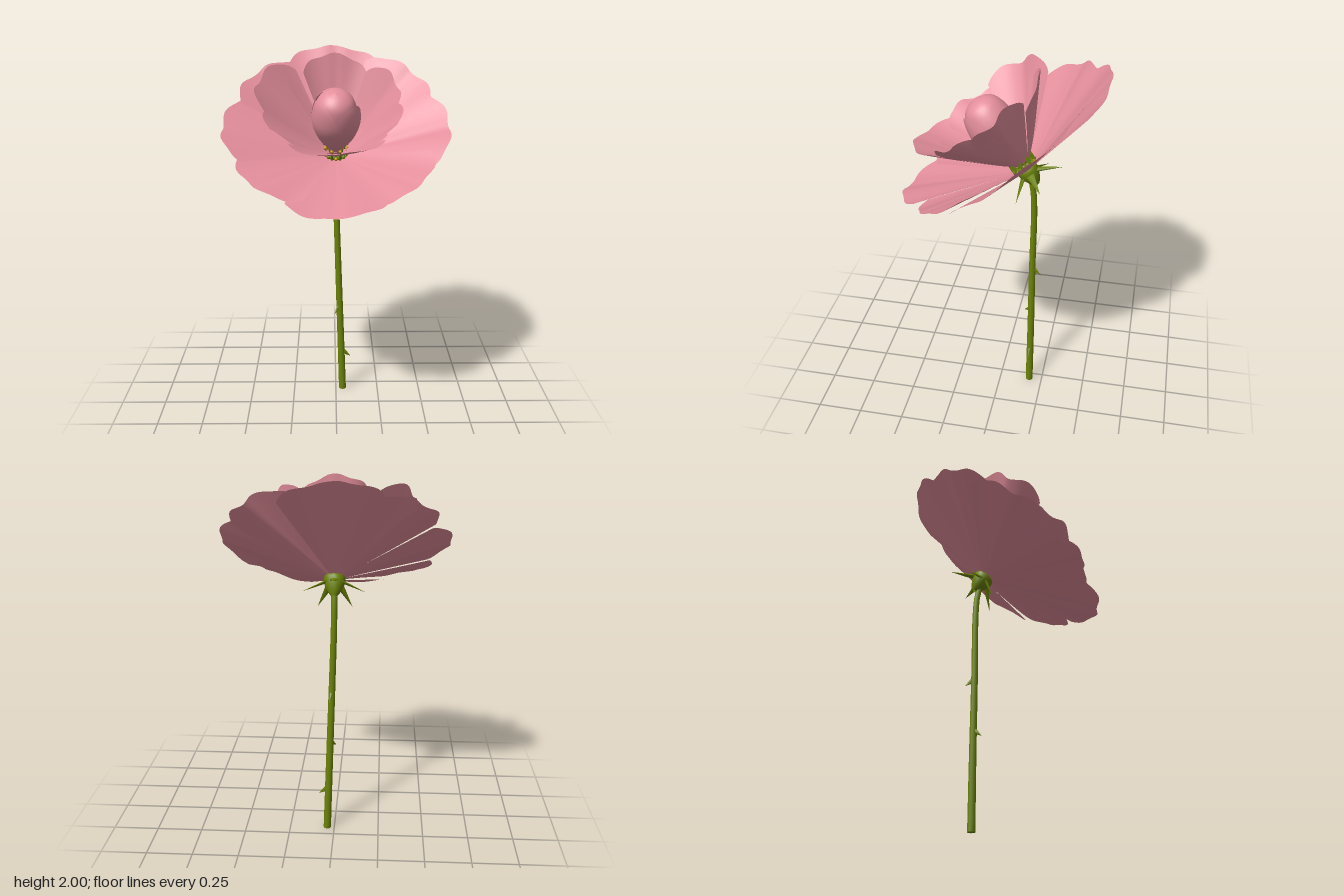
import * as THREE from 'three';

const mat = (name, color) => {
  const m = new THREE.MeshStandardMaterial({ color, side: THREE.DoubleSide });
  m.name = name;
  return m;
};

// Smooth grid surface: fn(u, v) returns a point, u and v in 0..1
function surface(fn, nu, nv) {
  const pos = [], idx = [];
  for (let j = 0; j <= nv; j++)
    for (let i = 0; i <= nu; i++) pos.push(...fn(i / nu, j / nv));
  for (let j = 0; j < nv; j++)
    for (let i = 0; i < nu; i++) {
      const a = j * (nu + 1) + i, b = a + nu + 1;
      idx.push(a, a + 1, b, a + 1, b + 1, b);
    }
  const g = new THREE.BufferGeometry();
  g.setAttribute('position', new THREE.Float32BufferAttribute(pos, 3));
  g.setIndex(idx);
  g.computeVertexNormals();
  return g;
}

// Fan-shaped petal rising from the flower's base around its axis
function petal({ angle, half, r, h, r0 = 0.03, y0 = 0, bow = 1, lift = 0, slant = 0.018, wave = 0.007, crease = 0.006, edge = 0.1, phase = 0 }) {
  return surface((s, v) => {
    const u = s * 2 - 1;
    const len = 1 - edge * Math.pow(Math.abs(u), 3.5) + 0.012 * v * Math.sin(9 * u + phase);
    const t = v * len;
    const a = angle + u * half;
    const R = r0 + (r - r0) * t;
    const fold = wave * v * v * Math.sin(5 * u + phase) - crease * v * Math.exp(-u * u * 60);
    const y = y0 + (h - y0) * Math.pow(t, bow) + v * (lift + slant * u) + fold;
    return [R * Math.sin(a), y, R * Math.cos(a)];
  }, 28, 14);
}

export function createModel() {
  const pink = mat('petalPink', 0xe38e9b);
  const green = mat('stemGreen', 0x6b8208);
  const yellow = mat('antherYellow', 0xca961a);

  const root = new THREE.Group();
  root.name = 'flower';
  const add = (parent, name, geo, material) => {
    const m = new THREE.Mesh(geo, material);
    m.name = name;
    parent.add(m);
    return m;
  };

  // Stem, slightly leaning and tapered, bending forward at the top
  const path = new THREE.CatmullRomCurve3([
    [0.04, 0, -0.175], [0.027, 0.4, -0.175], [0.012, 0.85, -0.173],
    [0.001, 1.2, -0.174], [0, 1.32, -0.167], [0, 1.41, -0.148],
  ].map(p => new THREE.Vector3(...p)));
  add(root, 'stem', surface((u, v) => {
    const c = path.getPointAt(v), a = u * Math.PI * 2, r = 0.021 - 0.005 * v;
    return [c.x + r * Math.cos(a), c.y, c.z + r * Math.sin(a)];
  }, 12, 28), green);
  const cap = add(root, 'stemEnd', new THREE.CircleGeometry(0.021, 12).rotateX(Math.PI / 2), green);
  cap.position.set(0.04, 0, -0.175);

  // Thorns: [height, x of stem, heading]
  for (const [y, x, heading] of [[0.235, 0.036, 1.5], [0.52, 0.02, -0.6], [0.81, 0.013, 2.9]]) {
    const g = new THREE.ConeGeometry(0.016, 0.055, 6).scale(0.6, 1, 1)
      .translate(0, 0.02, 0).rotateX(2.2).translate(0, 0.005, 0.014).rotateY(heading);
    add(root, 'thorn', g, green).position.set(x, y, -0.174);
  }

  // Flower head, tilted toward the front
  const head = new THREE.Group();
  head.name = 'flowerHead';
  head.position.set(0, 1.45, -0.13);
  head.rotation.x = 0.597;
  root.add(head);

  // Calyx bulb and reflexed sepals
  const bulb = [[0.015, -0.1], [0.034, -0.075], [0.051, -0.04], [0.058, -0.005], [0.05, 0.015], [0.03, 0.02]];
  add(head, 'calyx', new THREE.LatheGeometry(bulb.map(p => new THREE.Vector2(...p)), 16), green);
  for (let i = 0; i < 5; i++) {
    const back = Math.PI + i * Math.PI * 0.4;
    const droop = 0.54 - 0.14 * Math.cos(back - Math.PI);
    const g = new THREE.ConeGeometry(0.03, 0.175, 6).translate(0, 0.067, 0).scale(1, 1, 0.35)
      .rotateX(Math.PI / 2 + droop).translate(0, -0.02, 0.035).rotateY(back);
    add(head, 'sepal', g, green);
  }

  // Outer ring of eight spreading petals from the front round: [length, height]
  const outer = [[0.64, 0.225], [0.58, 0.185], [0.605, 0.215], [0.6, 0.225], [0.64, 0.23], [0.6, 0.225], [0.605, 0.22], [0.59, 0.195]];
  outer.forEach(([r, h], i) => add(head, 'outerPetal', petal({
    angle: i * Math.PI / 4, half: 0.47, r, h, lift: i % 2 ? 0.008 : -0.006, phase: i * 1.9,
  }), pink));

  // Inner cup of six upright petals: [angle, half width, length, height]
  const inner = [
    [0, 0.74, 0.415, 0.415], [1.05, 0.55, 0.35, 0.41], [2.0, 0.58, 0.34, 0.4],
    [Math.PI, 0.62, 0.345, 0.42], [-1.95, 0.58, 0.425, 0.41], [-1.05, 0.58, 0.385, 0.4],
  ];
  inner.forEach(([angle, half, r, h], i) => add(head, 'innerPetal', petal({
    angle, half, r, h, r0: 0.045, y0: 0.05, bow: 1.1, lift: i % 2 ? -0.012 : 0.008,
    slant: 0.02, phase: i * 2.3 + 1, wave: 0.012, edge: 0.14,
  }), pink));

  // Narrow petal tongues lying inside the cup
  for (const a of [-0.06, 0.85, 1.75, -1.2, -2.3]) {
    add(head, 'petalTongue', petal({
      angle: a, half: 0.11, r: 0.33, h: 0.35, r0: 0.05, y0: 0.07, bow: 1.1,
      slant: 0.006, wave: 0, crease: 0, edge: 0.12,
    }), pink);
  }

  // Closed bud: egg core wrapped by overlapping shells
  const bud = new THREE.Group();
  bud.name = 'bud';
  bud.position.set(-0.004, 0, 0.018);
  head.add(bud);
  const egg = new THREE.SplineCurve([
    [0.025, 0.04], [0.04, 0.1], [0.085, 0.17], [0.113, 0.25], [0.117, 0.32], [0.094, 0.405], [0.05, 0.445], [0, 0.458],
  ].map(p => new THREE.Vector2(...p)));
  add(bud, 'budCore', new THREE.LatheGeometry(egg.getPoints(24).map(p => new THREE.Vector2(Math.max(p.x, 0), p.y)), 28), pink);
  [[3.1, 1.4, 0.93], [-0.9, 1.15, 0.8], [0.75, 1.15, 0.74]].forEach(([angle, half, top], k) => {
    add(bud, 'budPetal', surface((s, v) => {
      const u = s * 2 - 1;
      const p = egg.getPoint(v * top * (1 - 0.3 * Math.abs(u) ** 2.5));
      const a = angle + u * half, R = p.x + 0.004 + 0.004 * k + 0.004 * u;
      return [R * Math.sin(a), p.y, R * Math.cos(a)];
    }, 24, 18), pink);
  });

  // Stamens: a green collar, beads below the cup and tipped filaments inside it
  add(head, 'stamenCollar', new THREE.TorusGeometry(0.05, 0.014, 8, 24).rotateX(Math.PI / 2).translate(0, 0.025, 0), green);
  for (let i = 0; i < 18; i++) {
    const a = i * Math.PI / 9;
    const bead = add(head, 'stamenBead', new THREE.SphereGeometry(0.01, 8, 6), i % 3 ? green : yellow);
    bead.position.set(0.063 * Math.sin(a), 0.026, 0.063 * Math.cos(a));
    const lean = i % 2 ? 0.066 : 0.05;
    const filament = add(head, 'filament', new THREE.CylinderGeometry(0.006, 0.007, 0.05, 6), green);
    filament.position.set(lean * Math.sin(a), 0.055, lean * Math.cos(a));
    const anther = add(head, 'anther', new THREE.SphereGeometry(0.01, 8, 6), yellow);
    anther.position.set(lean * Math.sin(a), 0.083, lean * Math.cos(a));
  }

  return root;
}
